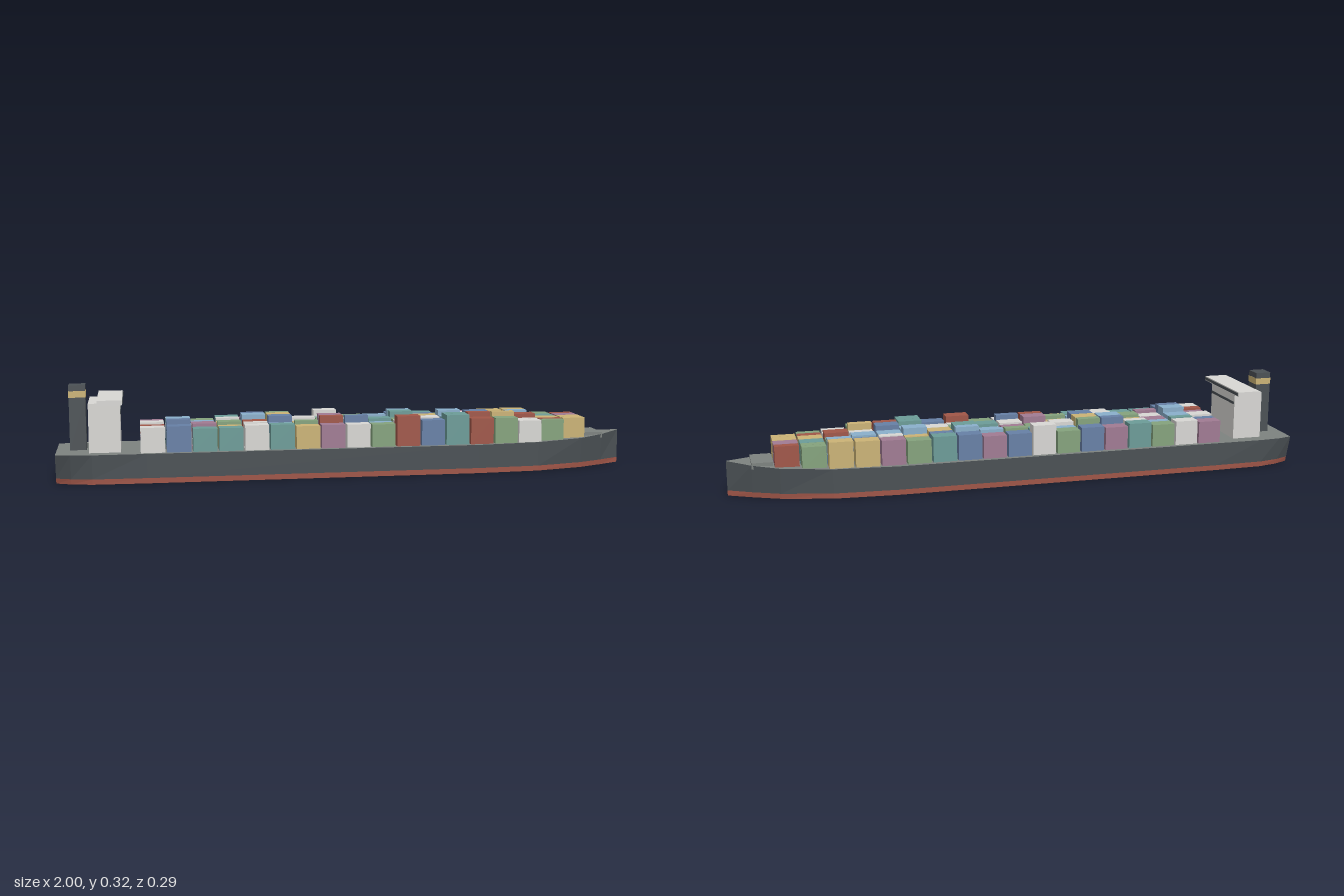
import * as THREE from 'three';

const mat = (name, color) => {
  const m = new THREE.MeshStandardMaterial({ color });
  m.name = name;
  return m;
};

// Hull stations: x, half width at deck, half width at keel, deck height
const STATIONS = [
  [-1, 0.125, 0.095, 0.1], [-0.95, 0.139, 0.12, 0.1], [-0.88, 0.145, 0.138, 0.1],
  [-0.7, 0.146, 0.143, 0.1], [0.44, 0.146, 0.143, 0.1], [0.66, 0.132, 0.129, 0.102],
  [0.83, 0.097, 0.085, 0.107], [0.92, 0.056, 0.043, 0.113], [1, 0.001, 0.001, 0.12],
];
const STRIPE = 0.018;

// Closed outline of the hull at a level: 'keel', 'stripe' or 'deck'
function outline(level) {
  const side = STATIONS.map(([x, top, bottom, y]) => {
    const t = level === 'keel' ? 0 : level === 'deck' ? 1 : STRIPE / y;
    return [x, y * t, bottom + (top - bottom) * t];
  });
  return [...side, ...side.map(([x, y, z]) => [x, y, -z]).reverse()];
}

function quads(list) {
  const pos = [];
  for (const [a, b, c, d] of list) pos.push(...a, ...b, ...c, ...a, ...c, ...d);
  const g = new THREE.BufferGeometry();
  g.setAttribute('position', new THREE.Float32BufferAttribute(pos, 3));
  g.computeVertexNormals();
  return g;
}

// Walls between two outlines
const walls = (lo, hi) => quads(lo.map((p, i) => {
  const j = (i + 1) % lo.length;
  return [p, lo[j], hi[j], hi[i]];
}));

// Cap across an outline, facing up or down
function cap(loop, up) {
  const n = loop.length, list = [];
  for (let i = 0; i < n / 2 - 1; i++) {
    const q = [loop[i], loop[i + 1], loop[n - 2 - i], loop[n - 1 - i]];
    list.push(up ? q : q.reverse());
  }
  return quads(list);
}

// Half width of the deck at x
function deckHalf(x) {
  const i = STATIONS.findIndex((s) => x <= s[0]);
  const a = STATIONS[i - 1], b = STATIONS[i];
  return a[1] + (b[1] - a[1]) * (x - a[0]) / (b[0] - a[0]);
}

export function createModel() {
  const model = new THREE.Group();
  model.name = 'containerShip';
  const hull = mat('hullCharcoal', 0x4b5155);
  const deck = mat('deckGrey', 0x7d827f);
  const paint = {
    W: mat('offWhite', 0xd8d7d4), R: mat('rustRed', 0xa05648),
    B: mat('slateBlue', 0x6780a6), T: mat('teal', 0x6c9c98),
    L: mat('lightBlue', 0x8aafcb), Y: mat('sandYellow', 0xcbb376),
    G: mat('sageGreen', 0x85a37d), P: mat('mauve', 0xa07b93),
  };

  const add = (parent, name, geometry, material) => {
    const m = new THREE.Mesh(geometry, material);
    m.name = name;
    parent.add(m);
    return m;
  };
  // Box given by its minimum and maximum on each axis
  const box = (parent, name, material, x0, x1, y0, y1, z0, z1) => {
    const m = add(parent, name, new THREE.BoxGeometry(x1 - x0, y1 - y0, z1 - z0), material);
    m.position.set((x0 + x1) / 2, (y0 + y1) / 2, (z0 + z1) / 2);
  };

  // Hull
  const keel = outline('keel'), stripe = outline('stripe'), rim = outline('deck');
  add(model, 'waterlineStripe', walls(keel, stripe), paint.R);
  add(model, 'hullSides', walls(stripe, rim), hull);
  add(model, 'hullBottom', cap(keel, false), hull);
  add(model, 'deck', cap(rim, true), deck);

  // Raised block on the foredeck
  box(model, 'foredeckBlock', deck, 0.85, 0.92, 0.1, 0.121, -0.058, 0.058);

  // Bridge tower with wings and window bands
  const bridge = new THREE.Group();
  bridge.name = 'bridge';
  model.add(bridge);
  box(bridge, 'tower', paint.W, -0.89, -0.785, 0.1, 0.266, -0.1, 0.1);
  box(bridge, 'bridgeWings', paint.W, -0.86, -0.777, 0.265, 0.281, -0.147, 0.147);
  box(bridge, 'towerWindows', hull, -0.786, -0.783, 0.227, 0.236, -0.097, 0.097);
  box(bridge, 'wingWindows', hull, -0.778, -0.775, 0.268, 0.278, -0.144, 0.144);

  // Funnel with a painted band
  const funnel = new THREE.Group();
  funnel.name = 'funnel';
  model.add(funnel);
  box(funnel, 'funnelBody', hull, -0.955, -0.9, 0.1, 0.279, -0.03, 0.03);
  box(funnel, 'funnelBand', paint.Y, -0.956, -0.899, 0.279, 0.301, -0.031, 0.031);
  box(funnel, 'funnelTop', hull, -0.955, -0.9, 0.301, 0.321, -0.03, 0.03);

  // Cargo rows from the back edge to the front edge, one letter per bay
  const rows = [
    'PWGTPBGWBPBTGPYYGR',
    'BTLWBGLTGLLBYWBLGR',
    'WLPYLYWGPLTYLLLGTP',
    'PLWGRBYPWTGWLBWRYY',
    'RBPYWLGRBLWGTRYWRY',
    'WBTTWTYPWGRBTRGWGY',
  ];
  // Stack height limit of each bay
  const tall = [0.085, 0.104, 0.088, 0.088, 0.104, 0.104, 0.09, 0.104, 0.104,
    0.088, 0.104, 0.088, 0.104, 0.106, 0.106, 0.092, 0.077, 0.078];
  const edges = [-0.13, -0.08, -0.05, 0, 0.05, 0.08, 0.13];
  const cargo = new THREE.Group();
  cargo.name = 'containers';
  model.add(cargo);
  for (let bay = 0; bay < 18; bay++) {
    const x0 = -0.72 + bay * 0.0873, x1 = x0 + 0.081;
    const limit = Math.min(0.13, deckHalf(x1) - 0.004);
    rows.forEach((row, r) => {
      const z0 = Math.max(edges[r], -limit), z1 = Math.min(edges[r + 1], limit);
      if (z1 - z0 < 0.007) return;
      // Stack heights follow a repeating pattern, lower along the sides
      const k = (bay * 5 + r * 7 + ((bay * r) % 3)) % 4;
      const outer = r === 0 || r === 5;
      const drop = outer ? [0.024, 0.019, 0.016, 0][k] : [0, 0.016, 0, 0.022][k];
      const h = bay > 15 ? tall[bay] : Math.max(0.078, tall[bay] - drop);
      box(cargo, 'container', paint[row[bay]], x0, x1, 0.1, 0.1 + h, z0 + 0.0008, z1 - 0.0008);
    });
  }
  return model;
}
